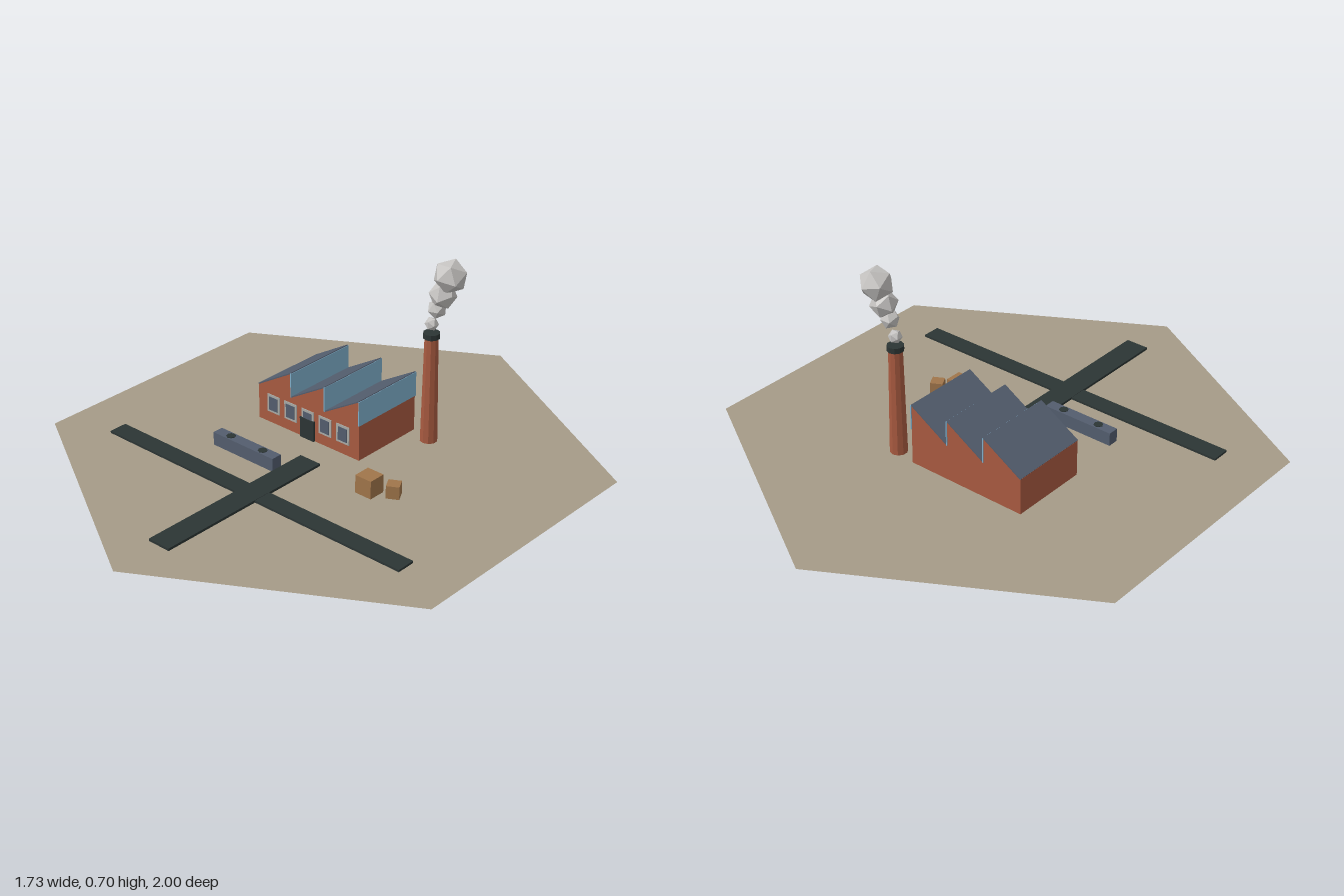
import * as THREE from 'three';

const mat = (name, color, extra = {}) =>
  Object.assign(new THREE.MeshStandardMaterial({ color, ...extra }), { name });

export function createModel() {
  const model = new THREE.Group();
  model.name = 'factoryTile';

  const earth = mat('earth', 0xa59b87, { side: THREE.DoubleSide });
  const brick = mat('brick', 0xa85a40, { flatShading: true });
  const slate = mat('slate', 0x535d6e);
  const glass = mat('glass', 0x80b0cc);
  const frame = mat('window frame', 0xa9aaa6);
  const dark = mat('dark iron', 0x2c3534, { flatShading: true });
  const wood = mat('wood', 0xa0754a);
  const smoke = mat('smoke', 0xc4c2c0, { flatShading: true });

  function add(name, geometry, material, x, y, z, parent = model) {
    const mesh = new THREE.Mesh(geometry, material);
    mesh.name = name;
    mesh.position.set(x, y, z);
    parent.add(mesh);
    return mesh;
  }
  const box = (name, material, w, h, d, x, y, z, parent) =>
    add(name, new THREE.BoxGeometry(w, h, d), material, x, y, z, parent);

  // Flat hexagonal ground, corners towards front and back
  const ground = add('ground', new THREE.CircleGeometry(1, 6, Math.PI / 2), earth, 0, 0, 0);
  ground.rotation.x = -Math.PI / 2;

  // Crossing roads
  box('longRoad', dark, 1.33, 0.008, 0.07, 0, 0.004, 0.377);
  box('crossRoad', dark, 0.09, 0.009, 0.716, 0, 0.0045, 0.448);

  // Factory hall
  const hall = new THREE.Group();
  hall.name = 'hall';
  model.add(hall);
  const wallH = 0.136, width = 0.474, depth = 0.3, cx = -0.116, cz = -0.176;
  const front = cz + depth / 2;
  box('walls', brick, width, wallH, depth, cx, wallH / 2, cz, hall);

  // Sawtooth roof: brick gables, slate slopes, glazed upright faces
  const tooth = width / 3, rise = 0.094;
  const gable = new THREE.Shape([
    new THREE.Vector2(0, 0), new THREE.Vector2(tooth, 0), new THREE.Vector2(tooth, rise),
  ]);
  const gableGeo = new THREE.ExtrudeGeometry(gable, { depth, bevelEnabled: false });
  for (let i = 0; i < 3; i++) {
    const x0 = cx - width / 2 + i * tooth;
    add('gable', gableGeo, brick, x0, wallH, cz - depth / 2, hall);
    const slope = box('roofSlope', slate, Math.hypot(tooth, rise), 0.004, depth + 0.002,
      x0 + tooth / 2, wallH + rise / 2 + 0.001, cz, hall);
    slope.rotation.z = Math.atan2(rise, tooth);
    box('skylight', glass, 0.004, rise, depth + 0.006, x0 + tooth, wallH + rise / 2, cz, hall);
  }

  // Front windows and door
  for (let i = -2; i <= 2; i++) {
    const x = cx + i * 0.082;
    box('windowFrame', frame, 0.058, 0.07, 0.006, x, 0.078, front, hall);
    box('windowPane', slate, 0.04, 0.052, 0.008, x, 0.078, front + 0.001, hall);
  }
  box('door', dark, 0.065, 0.079, 0.009, cx, 0.0395, front + 0.003, hall);

  // Tapered chimney with dark rim
  const chX = 0.207, chZ = -0.302;
  add('chimney', new THREE.CylinderGeometry(0.025, 0.032, 0.41, 10), brick, chX, 0.205, chZ);
  add('chimneyRim', new THREE.CylinderGeometry(0.03, 0.03, 0.02, 10), dark, chX, 0.411, chZ);

  // Smoke puffs growing as they drift: x, y, z, radius
  [
    [0.206, 0.453, -0.302, 0.025],
    [0.225, 0.515, -0.305, 0.035],
    [0.243, 0.57, -0.312, 0.05],
    [0.264, 0.641, -0.322, 0.062],
  ].forEach(([x, y, z, r], i) => {
    const puff = add('smokePuff', new THREE.IcosahedronGeometry(r, 0), smoke, x, y, z);
    puff.rotation.set(i * 0.7, i * 1.1, i * 0.5);
  });

  // Low freight bed with two round caps
  box('freightBed', slate, 0.283, 0.05, 0.042, -0.191, 0.025, 0.206);
  for (const s of [-1, 1])
    add('roundCap', new THREE.CylinderGeometry(0.017, 0.017, 0.004, 8), dark,
      -0.191 + s * 0.076, 0.05, 0.206);

  // Crates
  box('largeCrate', wood, 0.068, 0.068, 0.065, 0.284, 0.034, 0.109);
  box('smallCrate', wood, 0.046, 0.048, 0.046, 0.36, 0.024, 0.072).rotation.y = 0.5;

  return model;
}
